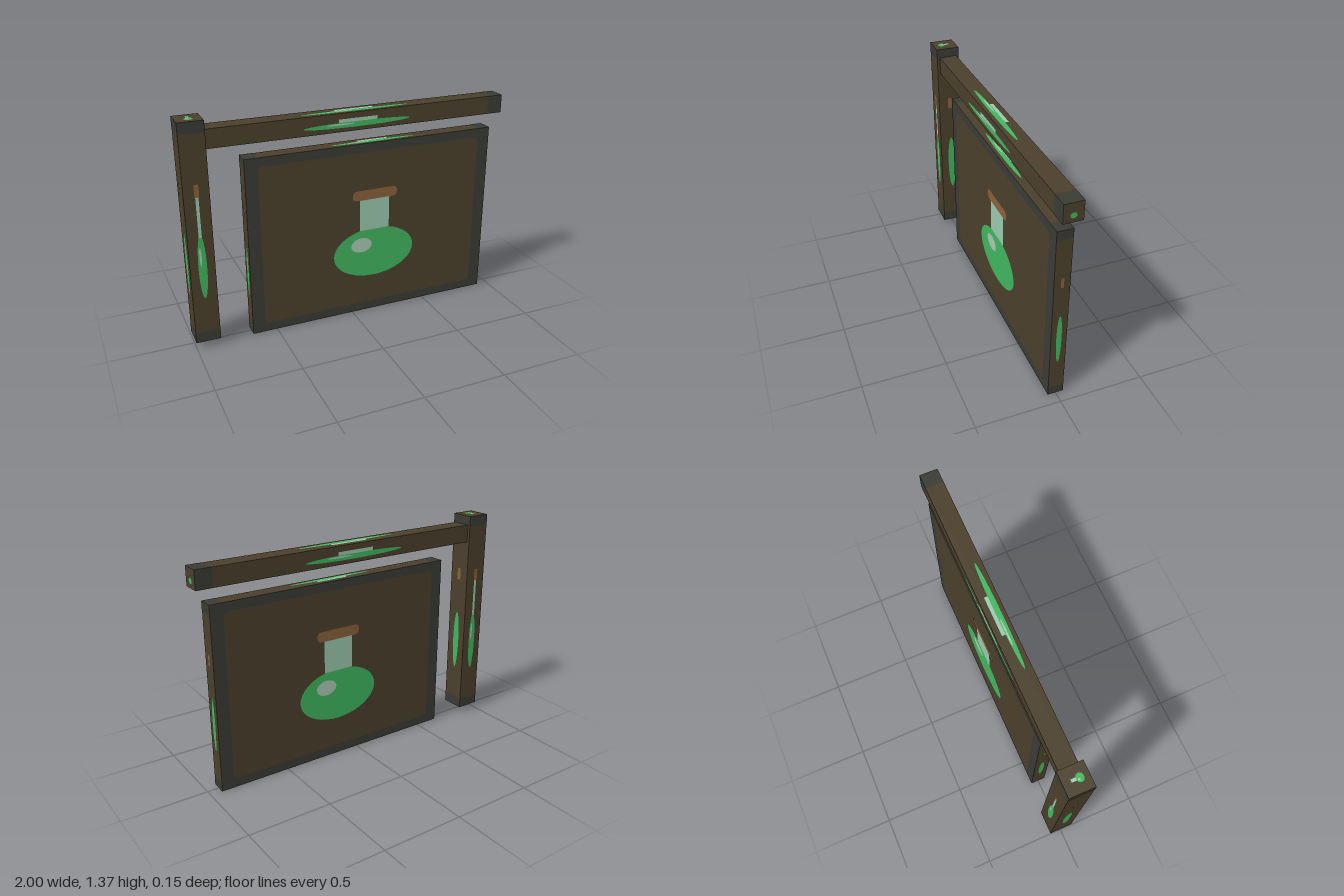
import * as THREE from 'three';

const mat = (name, color) => {
  const m = new THREE.MeshStandardMaterial({ color });
  m.name = name;
  return m;
};

export function createModel() {
  const wood = mat('brown wood', 0x4a3f2b);
  const iron = mat('dark trim', 0x3a3b35);
  const green = mat('green potion', 0x3fb55f);
  const glass = mat('pale glass', 0x9ac8ad);
  const shine = mat('glass highlight', 0xa9c8b2);
  const cork = mat('cork', 0x8a6039);

  // Outline of a rectangle with rounded corners
  const roundRect = (Type, x0, y0, x1, y1, rx, ry) => {
    const s = new Type();
    s.moveTo(x0 + rx, y0);
    s.lineTo(x1 - rx, y0);
    s.quadraticCurveTo(x1, y0, x1, y0 + ry);
    s.lineTo(x1, y1 - ry);
    s.quadraticCurveTo(x1, y1, x1 - rx, y1);
    s.lineTo(x0 + rx, y1);
    s.quadraticCurveTo(x0, y1, x0, y1 - ry);
    s.lineTo(x0, y0 + ry);
    s.quadraticCurveTo(x0, y0, x0 + rx, y0);
    return s;
  };
  const ellipse = (x, y, rx, ry) => {
    const s = new THREE.Shape();
    s.absellipse(x, y, rx, ry, 0, Math.PI * 2);
    return s;
  };
  const rect = (x0, y0, x1, y1) => roundRect(THREE.Shape, x0, y0, x1, y1, 0.0001, 0.0001);

  // Flask emblem in a unit square, stretched over each face
  const bodyGeo = new THREE.ShapeGeometry(ellipse(0.504, 0.362, 0.17, 0.147), 20);
  const neckGeo = new THREE.ShapeGeometry(rect(0.443, 0.5, 0.566, 0.685));
  const corkGeo = new THREE.ShapeGeometry(roundRect(THREE.Shape, 0.413, 0.68, 0.598, 0.737, 0.02, 0.025), 6);
  const shineGeo = new THREE.ShapeGeometry(ellipse(0.45, 0.412, 0.044, 0.043), 14);

  // One painted face: trim along the wide edges, then the flask
  function paintFace(w, h, withNeck) {
    const g = new THREE.Group();
    const add = (name, geo, material, layer) => {
      const m = new THREE.Mesh(geo, material);
      m.name = name;
      m.scale.set(w, h, 1);
      m.position.set(-w / 2, -h / 2, layer * 0.0008);
      g.add(m);
    };
    const bx = w * 0.049 > 0.02 ? 0.049 : 0;
    const by = h * 0.049 > 0.02 ? 0.049 : 0;
    if (bx && by) {
      const frame = rect(0, 0, 1, 1);
      frame.holes.push(roundRect(THREE.Path, bx, by, 1 - bx, 1 - by, 0.02, 0.028));
      add('trimFrame', new THREE.ShapeGeometry(frame, 5), iron, 1);
    } else if (bx) {
      add('trimBand', new THREE.ShapeGeometry([rect(0, 0, bx, 1), rect(1 - bx, 0, 1, 1)]), iron, 1);
    } else if (by) {
      add('trimBand', new THREE.ShapeGeometry([rect(0, 0, 1, by), rect(0, 1 - by, 1, 1)]), iron, 1);
    }
    add('flaskBody', bodyGeo, green, 1);
    if (withNeck) {
      add('flaskNeck', neckGeo, glass, 2);
      add('flaskHighlight', shineGeo, shine, 2);
    }
    if (h * 0.057 > 0.01) add('flaskCork', corkGeo, cork, 3);
    return g;
  }

  // Wooden box with the emblem on all six sides
  function timber(name, [x0, x1], [y0, y1], depth) {
    const w = x1 - x0, h = y1 - y0, d = depth;
    const part = new THREE.Group();
    part.name = name;
    part.position.set((x0 + x1) / 2, (y0 + y1) / 2, 0);
    const box = new THREE.Mesh(new THREE.BoxGeometry(w, h, d), wood);
    box.name = name + 'Wood';
    part.add(box);
    const q = Math.PI / 2;
    const faces = [
      ['Front', w, h, [0, 0, d / 2], [0, 0], true],
      ['Back', w, h, [0, 0, -d / 2], [0, 2 * q], true],
      ['Left', d, h, [w / 2, 0, 0], [0, q], false],
      ['Right', d, h, [-w / 2, 0, 0], [0, -q], false],
      ['Top', w, d, [0, h / 2, 0], [-q, 0], true],
      ['Bottom', w, d, [0, -h / 2, 0], [q, 0], false],
    ];
    for (const [side, fw, fh, pos, rot, withNeck] of faces) {
      const f = paintFace(fw, fh, withNeck);
      f.name = name + side;
      f.position.set(...pos);
      f.rotation.set(rot[0], rot[1], 0);
      part.add(f);
    }
    return part;
  }

  const model = new THREE.Group();
  model.name = 'hangingSign';
  model.add(
    timber('post', [-1, -0.855], [0.04, 1.365], 0.146),
    timber('beam', [-0.955, 1], [1.2, 1.31], 0.11),
    timber('signBoard', [-0.65, 0.93], [0, 1.11], 0.092),
  );
  return model;
}
